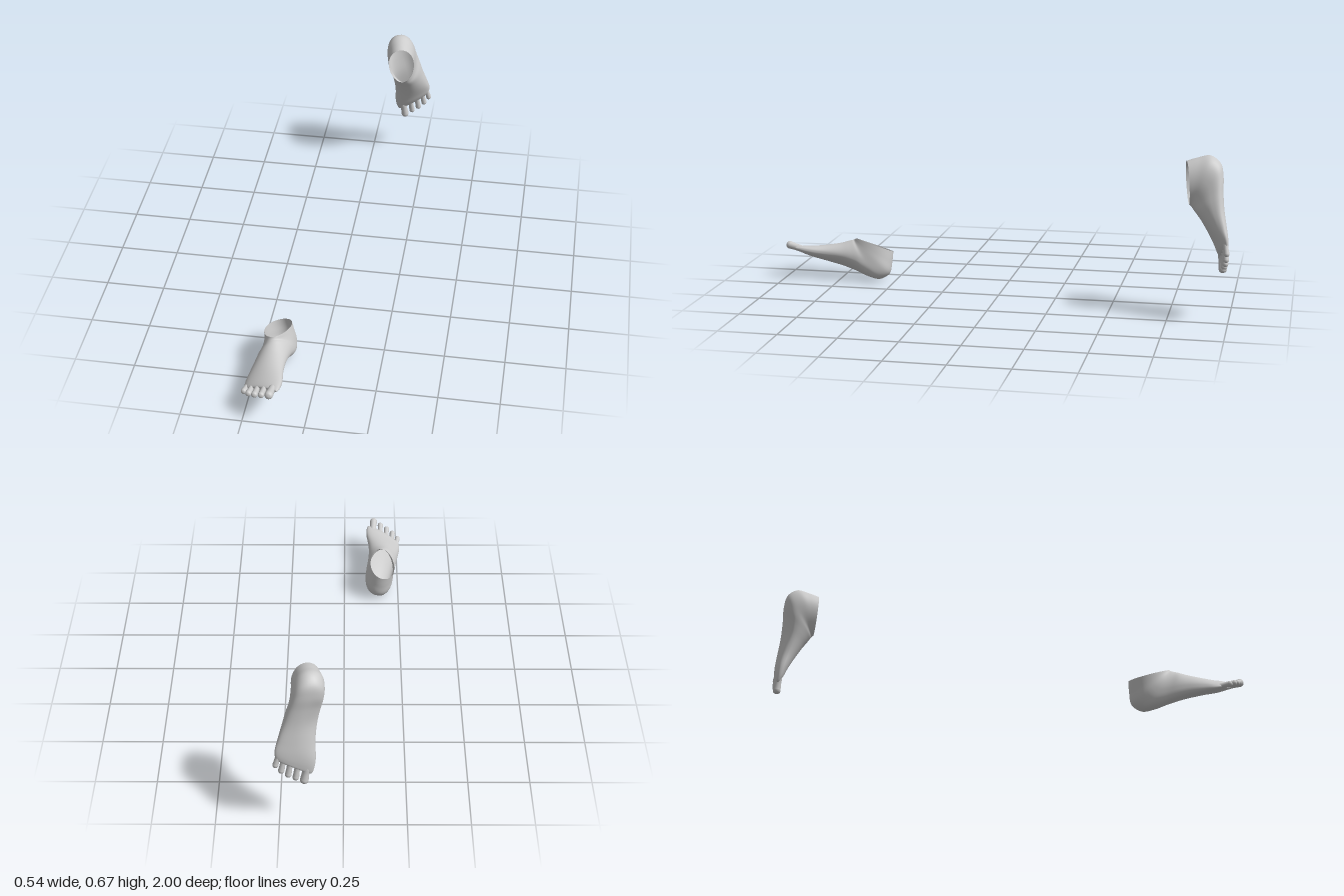
import * as THREE from 'three';

const skin = new THREE.MeshStandardMaterial({ color: 0xcccccc, side: THREE.DoubleSide });

// Foot cross-sections, fanning from the toe roots round the heel to the ankle rim.
// top [u, v], bottom [u, v] (u forward, v up), centre, half width, skew, squareness, arch lift, lean
const RINGS = [
  [0.402, 0.018, 0.402, 0.014, 0.032, 0.055, -0.5, 1, 0, 0],
  [0.402, 0.028, 0.402, 0.005, 0.031, 0.069, -0.5, 0.8, 0, 0],
  [0.385, 0.039, 0.382, 0.001, 0.029, 0.077, -0.42, 0.75, 0, 0.004],
  [0.352, 0.052, 0.345, 0.000, 0.027, 0.080, -0.3, 0.75, 0, 0.008],
  [0.300, 0.077, 0.285, 0.003, 0.024, 0.073, -0.1, 0.75, 0.008, 0.012],
  [0.252, 0.103, 0.210, 0.007, 0.015, 0.068, 0, 0.78, 0.02, 0.010],
  [0.222, 0.122, 0.140, 0.005, 0.006, 0.066, 0, 0.78, 0.016, 0.006],
  [0.207, 0.131, 0.080, 0.000, -0.002, 0.064, 0, 0.8, 0.004, 0.003],
  [0.200, 0.135, 0.030, 0.007, -0.006, 0.063, 0, 0.85, 0, 0],
  [0.197, 0.138, -0.003, 0.045, -0.010, 0.062, 0, 0.95, 0, 0],
  [0.195, 0.140, 0.002, 0.095, -0.013, 0.059, 0, 1, 0, 0],
  [0.193, 0.143, 0.013, 0.143, -0.015, 0.057, 0, 1, 0, 0],
];

// Toes from big to little: root [s, v, u], tip [s, v, u], radius
const TOES = [
  [[-0.022, 0.019, 0.385], [-0.013, 0.017, 0.484], 0.0170],
  [[0.014, 0.021, 0.375], [0.021, 0.015, 0.465], 0.0130],
  [[0.044, 0.020, 0.360], [0.052, 0.014, 0.449], 0.0130],
  [[0.070, 0.019, 0.345], [0.081, 0.014, 0.428], 0.0125],
  [[0.092, 0.018, 0.325], [0.106, 0.014, 0.400], 0.0120],
];

const bend = (x, p) => Math.sign(x) * Math.abs(x) ** p;

function bodyGeometry(side) {
  const cols = 48, rows = 60, pos = [], index = [];
  const columns = [];
  for (let j = 0; j < cols; j++) {
    const a = (j / cols) * Math.PI * 2, sin = Math.sin(a), cos = Math.cos(a);
    const pts = RINGS.map(([tu, tv, bu, bv, c, w, skew, sq, arch, lean]) => {
      const p = cos < 0 ? sq : 1;
      const across = bend(sin, p), up = bend(cos, p), k = (up + 1) / 2;
      const s = c + w * across * (1 - 0.12 * up) - lean * up;
      const lift = arch * Math.max(0, -across) * Math.max(0, -up);
      return new THREE.Vector3(s * side, bv + (tv - bv) * k + lift, bu + (tu - bu) * k + skew * (s - 0.03));
    });
    columns.push(new THREE.CatmullRomCurve3(pts));
  }
  for (let i = 0; i <= rows; i++)
    for (let j = 0; j < cols; j++) pos.push(...columns[j].getPoint(i / rows).toArray());
  for (let i = 0; i < rows; i++)
    for (let j = 0; j < cols; j++) {
      const a = i * cols + j, b = i * cols + (j + 1) % cols, c = a + cols, d = b + cols;
      if (side > 0) index.push(a, b, c, b, d, c);
      else index.push(a, c, b, b, c, d);
    }
  // Close the front edge behind the toes
  for (let j = 1; j < cols - 1; j++) index.push(0, ...(side > 0 ? [j + 1, j] : [j, j + 1]));
  const g = new THREE.BufferGeometry();
  g.setAttribute('position', new THREE.Float32BufferAttribute(pos, 3));
  g.setIndex(index);
  g.computeVertexNormals();
  return g;
}

// Rounded toe with a narrower neck and a fuller pad
function makeToe([root, tip, r], side) {
  const a = new THREE.Vector3(root[0] * side, root[1], root[2]);
  const b = new THREE.Vector3(tip[0] * side, tip[1], tip[2]);
  const len = a.distanceTo(b);
  const profile = [[0.6, 0], [0.88, len * 0.25], [0.86, len * 0.5], [0.95, len - r * 1.5],
    [1, len - r], [0.9, len - r * 0.5], [0.6, len - r * 0.15], [0, len]];
  const curve = new THREE.SplineCurve(profile.map(([k, y]) => new THREE.Vector2(k * r, y)));
  const pts = curve.getPoints(28).map(p => p.set(Math.max(0, p.x), p.y));
  const g = new THREE.LatheGeometry(pts, 20);
  const toe = new THREE.Mesh(g, skin);
  toe.position.copy(a);
  toe.quaternion.setFromUnitVectors(new THREE.Vector3(0, 1, 0), b.sub(a).normalize());
  return toe;
}

// side: +1 lateral edge on local +x, -1 mirrored
function makeFoot(name, side, origin, forward, across) {
  const foot = new THREE.Group();
  foot.name = name;
  const body = new THREE.Mesh(bodyGeometry(side), skin);
  body.name = 'footBody';
  foot.add(body);
  TOES.forEach((t, i) => {
    const toe = makeToe(t, side);
    toe.name = 'toe' + (i + 1);
    foot.add(toe);
  });
  const z = new THREE.Vector3(...forward).normalize();
  const y = z.clone().cross(new THREE.Vector3(...across)).normalize();
  const x = y.clone().cross(z);
  foot.quaternion.setFromRotationMatrix(new THREE.Matrix4().makeBasis(x, y, z));
  foot.position.set(...origin);
  return foot;
}

export function createModel() {
  const model = new THREE.Group();
  model.name = 'pairOfFeet';
  model.add(
    makeFoot('rightFoot', -1, [-0.154, 0.008, 0.545], [0.01, 0.29, 0.95], [0.96, 0.25, -0.087]),
    makeFoot('leftFoot', 1, [0.121, 0.692, -0.95], [0.085, -0.99, -0.08], [0.975, 0.08, -0.2]),
  );
  return model;
}
